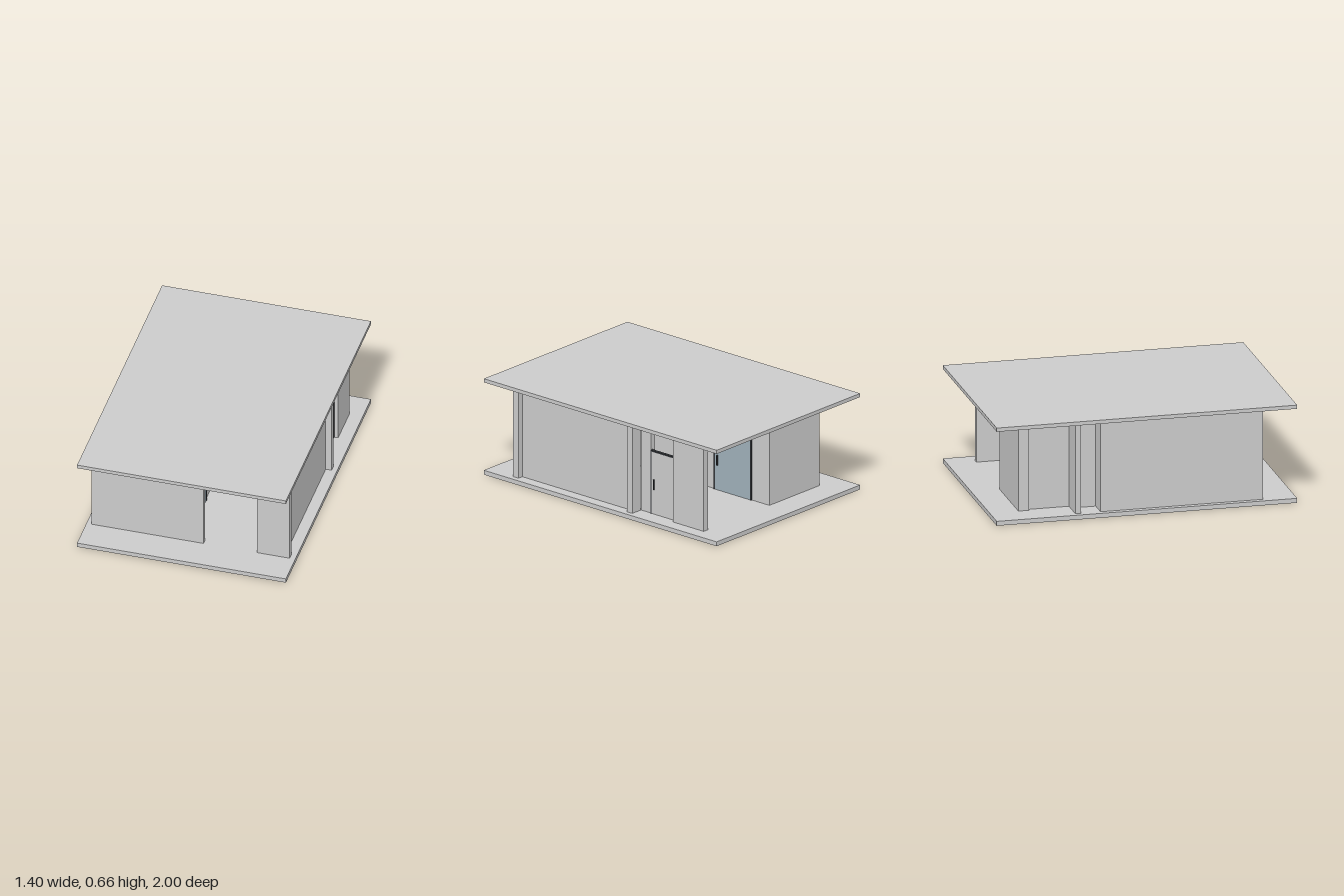
import * as THREE from 'three';

const grey = new THREE.MeshStandardMaterial({ color: 0xcccccc });
const dark = new THREE.MeshStandardMaterial({ color: 0x33363a });
const glass = new THREE.MeshStandardMaterial({ color: 0x9fb0ba });

const FLOOR = 0.03, CEILING = 0.635, DOOR_TOP = 0.465;

export function createModel() {
  const model = new THREE.Group();

  // Box given by its minimum and maximum on each axis
  function box(name, x0, x1, y0, y1, z0, z1, material = grey, parent = model) {
    const mesh = new THREE.Mesh(new THREE.BoxGeometry(x1 - x0, y1 - y0, z1 - z0), material);
    mesh.position.set((x0 + x1) / 2, (y0 + y1) / 2, (z0 + z1) / 2);
    mesh.name = name;
    parent.add(mesh);
    return mesh;
  }
  const wall = (name, x0, x1, z0, z1) => box(name, x0, x1, FLOOR, CEILING, z0, z1);

  // Door lying in a plane of constant x, with a frame and handles on both sides
  function door(name, x, z0, z1, thickness, material) {
    const group = new THREE.Group();
    group.name = name;
    model.add(group);
    const h = thickness / 2, f = 0.009, g = h + 0.003;
    box('doorPanel', x - h, x + h, FLOOR, DOOR_TOP - f, z0 + f, z1 - f, material, group);
    for (const z of [z0, z1 - f]) box('doorJamb', x - g, x + g, FLOOR, DOOR_TOP, z, z + f, dark, group);
    box('doorHead', x - g, x + g, DOOR_TOP - f, DOOR_TOP, z0 + f, z1 - f, dark, group);
    for (const s of [-1, 1]) {
      const hx = x + s * (h + 0.006);
      box('doorHandle', hx - 0.005, hx + 0.005, 0.2, 0.27, z1 - 0.035, z1 - 0.028, dark, group);
    }
  }

  // Slabs
  box('floorSlab', -0.7, 0.7, 0, FLOOR, -1, 1);
  box('roofSlab', -0.7, 0.7, CEILING, 0.66, -1, 1);

  // Front walls either side of the entrance
  wall('frontLeftWall', 0.445, 0.663, 0.735, 0.78);
  wall('frontRightWall', -0.665, 0.085, 0.74, 0.78);

  // Side with the recessed door
  wall('longSideWall', 0.585, 0.625, -0.2, 0.735);
  wall('sidePier', 0.585, 0.665, -0.245, -0.2);
  wall('doorSideWall', 0.54, 0.58, -0.33, -0.245);
  wall('rearSideWall', 0.57, 0.61, -0.81, -0.545);
  door('sideDoor', 0.575, -0.545, -0.33, 0.015, grey);

  // Opposite side, stepped in towards the back
  wall('oppositeLongWall', -0.665, -0.62, -0.3, 0.74);
  wall('steppedCrossWall', -0.665, -0.07, -0.468, -0.43);
  wall('recessWall', -0.54, -0.5, -0.43, -0.3);
  wall('recessReturnWall', -0.62, -0.5, -0.3, -0.26);
  wall('rearRoomSideWall', -0.5, -0.46, -0.74, -0.468);
  wall('rearWall', -0.52, -0.03, -0.81, -0.74);

  // Inner wall along the passage, with two glazed doors
  wall('passageWall', -0.07, -0.03, -0.74, 0.74);
  door('rearRoomDoor', -0.03, -0.66, -0.34, 0.012, glass);
  door('frontRoomDoor', -0.03, 0.33, 0.65, 0.012, glass);

  // Blank plate above the rear room door
  box('wallPlate', -0.03, -0.02, 0.495, 0.52, -0.545, -0.465, dark);

  // Ceiling rail across the rear of the passage
  box('ceilingRail', 0.125, 0.405, 0.625, CEILING, -0.64, -0.62, dark);

  return model;
}
